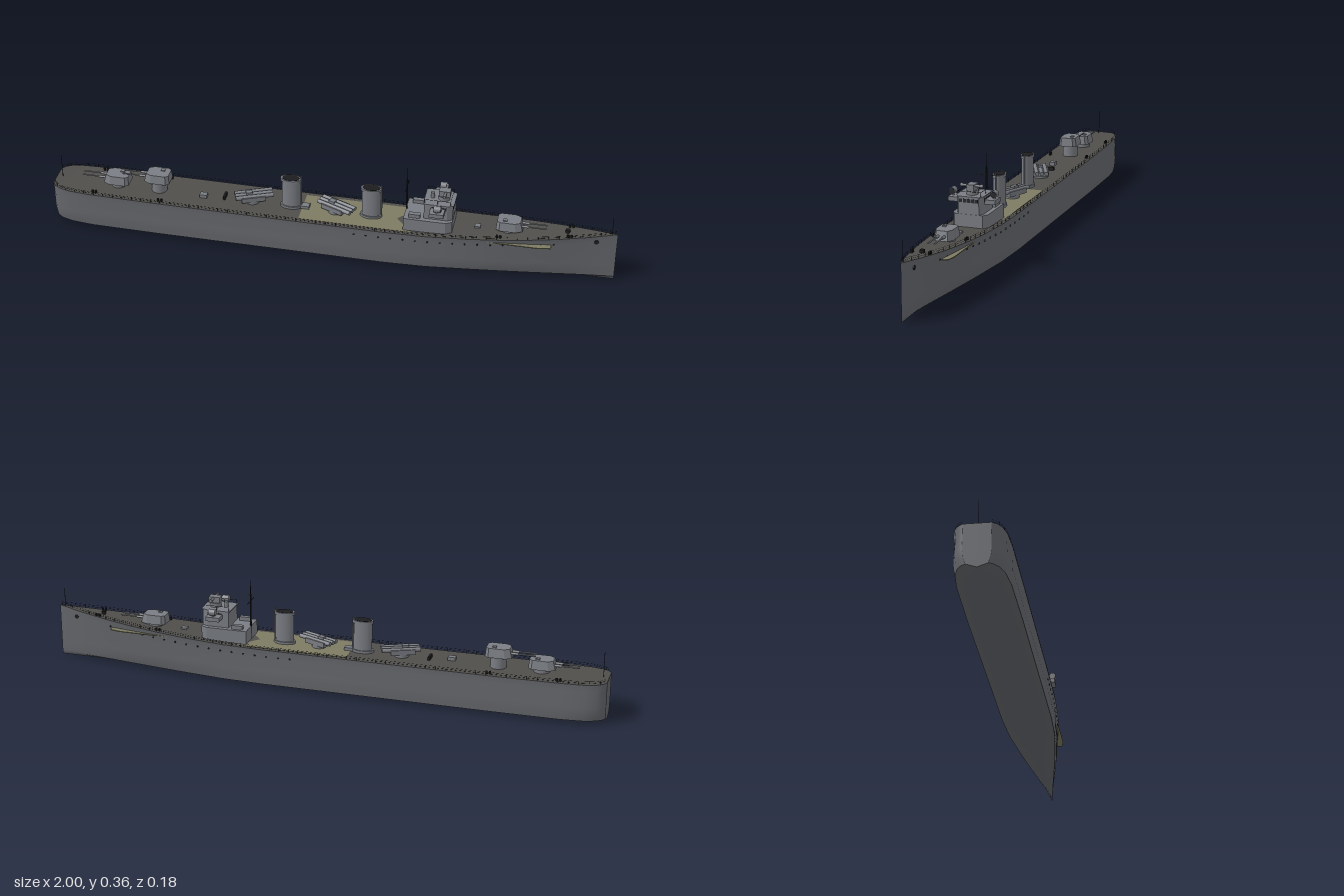
import * as THREE from 'three';

const mat = (name, color, side = THREE.FrontSide) => {
  const m = new THREE.MeshStandardMaterial({ color, side });
  m.name = name;
  return m;
};

export function createModel() {
  const hullGrey = mat('hull grey', 0x66686d);
  const upperGrey = mat('upperworks grey', 0x7a7d83);
  const deckGrey = mat('deck grey', 0x4f4e4b);
  const khaki = mat('deck planking khaki', 0x7d7b62);
  const black = mat('black fittings', 0x1c1c1e);
  const windowDark = mat('window dark', 0x26292e);

  const ship = new THREE.Group();
  ship.name = 'warship';

  // ---- helpers
  const add = (name, geo, material, x = 0, y = 0, z = 0, parent = ship) => {
    const m = new THREE.Mesh(geo, material);
    m.name = name;
    m.position.set(x, y, z);
    parent.add(m);
    return m;
  };
  const group = (name, x, y, z = 0, turn = 0) => {
    const g = new THREE.Group();
    g.name = name;
    g.position.set(x, y, z);
    g.rotation.y = turn;
    ship.add(g);
    return g;
  };
  const box = (w, h, d) => new THREE.BoxGeometry(w, h, d);
  const rod = (r, h, seg = 8) => new THREE.CylinderGeometry(r, r, h, seg);
  const rodX = (r, l, seg = 10) => rod(r, l, seg).rotateZ(Math.PI / 2);
  const rodZ = (r, l, seg = 10) => rod(r, l, seg).rotateX(Math.PI / 2);
  // Prism standing on a plan outline of [x, z] pairs, mirrored across z
  const plan = (half, height, holes = []) => {
    const pts = [...half, ...half.slice().reverse().map(([x, z]) => [x, -z])];
    const s = new THREE.Shape(pts.map(([x, z]) => new THREE.Vector2(x, z)));
    s.holes.push(...holes);
    return new THREE.ExtrudeGeometry(s, { depth: height, bevelEnabled: false }).rotateX(-Math.PI / 2);
  };
  // Surface through rows of points
  const loft = (rows) => {
    const n = rows[0].length, idx = [];
    for (let i = 0; i < rows.length - 1; i++)
      for (let j = 0; j < n - 1; j++) {
        const a = i * n + j, b = a + n;
        idx.push(a, a + 1, b, b, a + 1, b + 1);
      }
    const g = new THREE.BufferGeometry();
    g.setAttribute('position', new THREE.Float32BufferAttribute(rows.flat(2), 3));
    g.setIndex(idx);
    g.computeVertexNormals();
    return g;
  };

  // ---- hull stations: x, deck half-width, waterline half-width, chine half-width, deck height
  const stations = [
    [-1, 0.045, 0.045, 0.035, 0.149], [-0.99, 0.06, 0.06, 0.05, 0.148], [-0.97, 0.073, 0.073, 0.064, 0.147],
    [-0.93, 0.083, 0.084, 0.077, 0.146], [-0.85, 0.088, 0.089, 0.085, 0.145], [-0.6, 0.089, 0.09, 0.088, 0.143],
    [-0.2, 0.089, 0.09, 0.088, 0.142], [0.2, 0.089, 0.09, 0.088, 0.142], [0.35, 0.087, 0.086, 0.082, 0.144],
    [0.5, 0.079, 0.074, 0.066, 0.15], [0.6, 0.071, 0.064, 0.054, 0.156], [0.7, 0.06, 0.051, 0.041, 0.163],
    [0.8, 0.045, 0.035, 0.027, 0.171], [0.9, 0.025, 0.018, 0.013, 0.18], [1, 0.0008, 0.0006, 0.0006, 0.19],
  ];
  const at = (x, k) => {
    let i = 1;
    while (i < stations.length - 1 && stations[i][0] < x) i++;
    const a = stations[i - 1], b = stations[i];
    return THREE.MathUtils.lerp(a[k], b[k], (x - a[0]) / (b[0] - a[0]));
  };
  const side = ([x, d, w, c, h]) => [
    [x, h, d], [x, h - 0.025, d * 0.6 + w * 0.37], [x, 0.062, w], [x, 0.035, w * 0.7 + c * 0.3], [x, 0.012, c],
  ];
  const flip = (row) => row.slice().reverse().map(([x, y, z]) => [x, y, -z]);
  add('hullSideLeft', loft(stations.map(side)), hullGrey);
  add('hullSideRight', loft(stations.map((s) => flip(side(s)))), hullGrey);
  add('hullBottom', loft(stations.map(([x, , , c]) => [[x, 0.012, c], [x, 0, 0], [x, 0.012, -c]])), hullGrey);
  add('deck', loft(stations.map(([x, d, , , h]) => [[x, h, -d], [x, h + 0.001, 0], [x, h, d]])), deckGrey);
  const sternRow = [...side(stations[0]), [-1, 0, 0], ...flip(side(stations[0]))];
  add('stern', loft([sternRow.map(([x, y]) => [x, y, 0]), sternRow]), hullGrey);

  // Flat planking whose forward end projects past the narrowing bow
  add('sidePlanking', plan([[-0.1, 0.072], [0.74, 0.072], [0.78, 0.064]], 0.003), khaki, 0, 0.1405);

  // ---- rails, portholes, anchors and mooring fittings on both sides
  for (const s of [1, -1]) {
    const tag = s > 0 ? 'Left' : 'Right';
    const rails = group('railing' + tag, 0, 0);
    const edge = stations.map(([x, d, , , h]) => new THREE.Vector3(x * 0.995, h, s * d * 0.97));
    for (const lift of [0.006, 0.012]) {
      const path = new THREE.CatmullRomCurve3(edge.map((p) => p.clone().setY(p.y + lift)));
      add('railWire', new THREE.TubeGeometry(path, 80, 0.0004, 4), black, 0, 0, 0, rails);
    }
    for (let x = -0.98; x < 0.98; x += 0.035)
      add('stanchion', rod(0.0006, 0.013, 5), black, x, at(x, 4) + 0.006, s * at(x, 1) * 0.97, rails);
    for (let x = 0.1; x < 0.82; x += 0.043) {
      const y = at(x, 4) - 0.025;
      add('porthole' + tag, rodZ(0.0035, 0.004), black, x, y, s * (at(x, 1) * 0.6 + at(x, 2) * 0.37));
    }
    add('hawseHole' + tag, rodZ(0.008, 0.006, 12), black, 0.93, 0.158, s * 0.0145);
    for (const x of [-0.84, -0.6, 0.6, 0.84]) {
      const z = s * at(x, 1) * 0.8;
      for (const dx of [-0.006, 0.006]) add('bollard' + tag, rod(0.004, 0.01), black, x + dx, at(x, 4) + 0.005, z);
    }
  }

  // ---- twin gun turrets
  const turret = (name, x, y, dir, pedestal) => {
    const g = group(name, x, y, 0, dir > 0 ? 0 : Math.PI);
    add('barbette', rod(0.028, pedestal, 20), upperGrey, -0.005, -pedestal / 2 + 0.005, 0, g);
    const house = plan([[-0.048, 0.024], [-0.036, 0.034], [0.022, 0.034], [0.044, 0.022]], 0.032);
    const p = house.attributes.position;
    for (let i = 0; i < p.count; i++)
      if (p.getY(i) > 0.01) p.setXYZ(i, p.getX(i) * 0.88 - 0.003, p.getY(i), p.getZ(i) * 0.84);
    house.computeVertexNormals();
    add('gunHouse', house, upperGrey, 0, 0.004, 0, g);
    add('roofHatch', box(0.014, 0.005, 0.012), upperGrey, -0.018, 0.037, 0.012, g);
    for (const z of [-0.011, 0.011]) {
      add('gunSleeve', rodX(0.0045, 0.03), upperGrey, 0.048, 0.019, z, g);
      add('gunBarrel', rodX(0.0026, 0.09), upperGrey, 0.08, 0.019, z, g);
    }
  };
  turret('aftTurret', -0.775, 0.156, -1, 0.03);
  turret('raisedAftTurret', -0.625, 0.182, -1, 0.048);
  turret('forwardTurret', 0.633, 0.164, 1, 0.03);

  // ---- torpedo tube mounts, trained off the centreline
  for (const [name, x, turn] of [['aftTubeMount', -0.28, 0.4], ['forwardTubeMount', 0.018, -0.4]]) {
    const g = group(name, x, 0.142, 0, turn);
    add('turntable', rod(0.026, 0.014, 20), upperGrey, 0, 0.007, 0, g);
    add('tubeHousing', box(0.085, 0.018, 0.056), upperGrey, 0, 0.022, 0, g);
    for (let i = -1; i <= 1; i++) add('torpedoTube', rodX(0.0075, 0.135, 12), upperGrey, 0.005, 0.029, i * 0.017, g);
    add('aimingHood', box(0.022, 0.012, 0.018), upperGrey, -0.012, 0.036, 0, g);
  }

  // ---- oval funnels
  for (const [name, x] of [['aftFunnel', -0.14], ['forwardFunnel', 0.145]]) {
    const g = group(name, x, 0.14);
    const oval = (r, h) => new THREE.CylinderGeometry(r, r, h, 28).scale(1, 1, 0.6);
    add('funnelBase', oval(0.039, 0.012), upperGrey, 0, 0.006, 0, g);
    add('funnelCasing', oval(0.033, 0.115), upperGrey, 0, 0.0575, 0, g);
    add('funnelCap', oval(0.037, 0.01), upperGrey, 0, 0.115, 0, g);
    add('funnelMouth', oval(0.031, 0.004), black, 0, 0.119, 0, g);
    add('steamPipe', rod(0.003, 0.13), upperGrey, 0.036, 0.067, 0, g);
  }

  // ---- bridge
  const bridge = group('bridge', 0, 0);
  const b = (name, geo, m, x, y, z = 0) => add(name, geo, m, x, y, z, bridge);
  b('deckhouse', plan([[0.268, 0.062], [0.415, 0.062], [0.437, 0.05]], 0.05), upperGrey, 0, 0.142);
  b('bridgeTower', plan([[0.337, 0.046], [0.418, 0.046], [0.436, 0.036]], 0.06), upperGrey, 0, 0.19);
  b('bridgeRoof', plan([[0.333, 0.048], [0.42, 0.048], [0.44, 0.038]], 0.003), upperGrey, 0, 0.25);
  for (let i = -2; i <= 2; i++) b('frontWindow', box(0.002, 0.012, 0.011), windowDark, 0.4365, 0.238, i * 0.0138);
  for (const s of [1, -1]) {
    for (let i = 0; i < 3; i++) b('sideWindow', box(0.014, 0.012, 0.002), windowDark, 0.37 + i * 0.019, 0.238, s * 0.0462);
    b('bridgeWing', box(0.05, 0.015, 0.038), upperGrey, 0.385, 0.232, s * 0.064);
    b('lampPost', rod(0.004, 0.012), upperGrey, 0.385, 0.244, s * 0.073);
    b('searchlight', rodX(0.0115, 0.024, 18), upperGrey, 0.387, 0.256, s * 0.073);
    b('searchlightGlass', rodX(0.0095, 0.002, 18), windowDark, 0.3995, 0.256, s * 0.073);
    b('roofRail', box(0.09, 0.001, 0.001), black, 0.383, 0.267, s * 0.04);
    for (const x of [0.338, 0.383, 0.428]) b('roofRailPost', rod(0.0007, 0.015, 5), black, x, 0.26, s * 0.04);
    b('locker', box(0.04, 0.014, 0.016), upperGrey, 0.305, 0.199, s * 0.044);
  }
  b('roofRailFront', box(0.001, 0.001, 0.08), black, 0.428, 0.267);
  b('directorBase', rod(0.02, 0.016, 20), upperGrey, 0.4, 0.26);
  b('directorHouse', box(0.04, 0.022, 0.026), upperGrey, 0.402, 0.278);
  b('rangefinder', rodZ(0.0045, 0.08), upperGrey, 0.405, 0.283);
  for (const z of [-0.04, 0.04]) b('rangefinderEnd', rodZ(0.006, 0.008), upperGrey, 0.405, 0.283, z * 0.88);
  b('sightBinnacle', rod(0.007, 0.022, 12), upperGrey, 0.36, 0.263);

  // ---- mast and flagstaffs
  add('lowerMast', rod(0.003, 0.17), black, 0.27, 0.225);
  add('topMast', rod(0.0012, 0.06, 6), black, 0.27, 0.33);
  add('mastYard', rodZ(0.0013, 0.07, 6), black, 0.27, 0.285);
  add('sternStaff', rod(0.001, 0.09, 6), black, -0.98, 0.192);
  add('bowStaff', rod(0.001, 0.07, 6), black, 0.98, 0.222);

  // ---- small deck fittings
  add('aftSkylight', box(0.026, 0.014, 0.02), upperGrey, -0.455, 0.149, 0.012);
  add('winch', box(0.008, 0.014, 0.034), black, -0.38, 0.149);
  add('midshipHatch', box(0.03, 0.012, 0.024), upperGrey, -0.09, 0.148);
  add('forwardHatch', box(0.02, 0.008, 0.02), upperGrey, 0.52, 0.154);
  add('anchorCapstan', rod(0.008, 0.012, 12), black, 0.83, 0.179);
  return ship;
}
